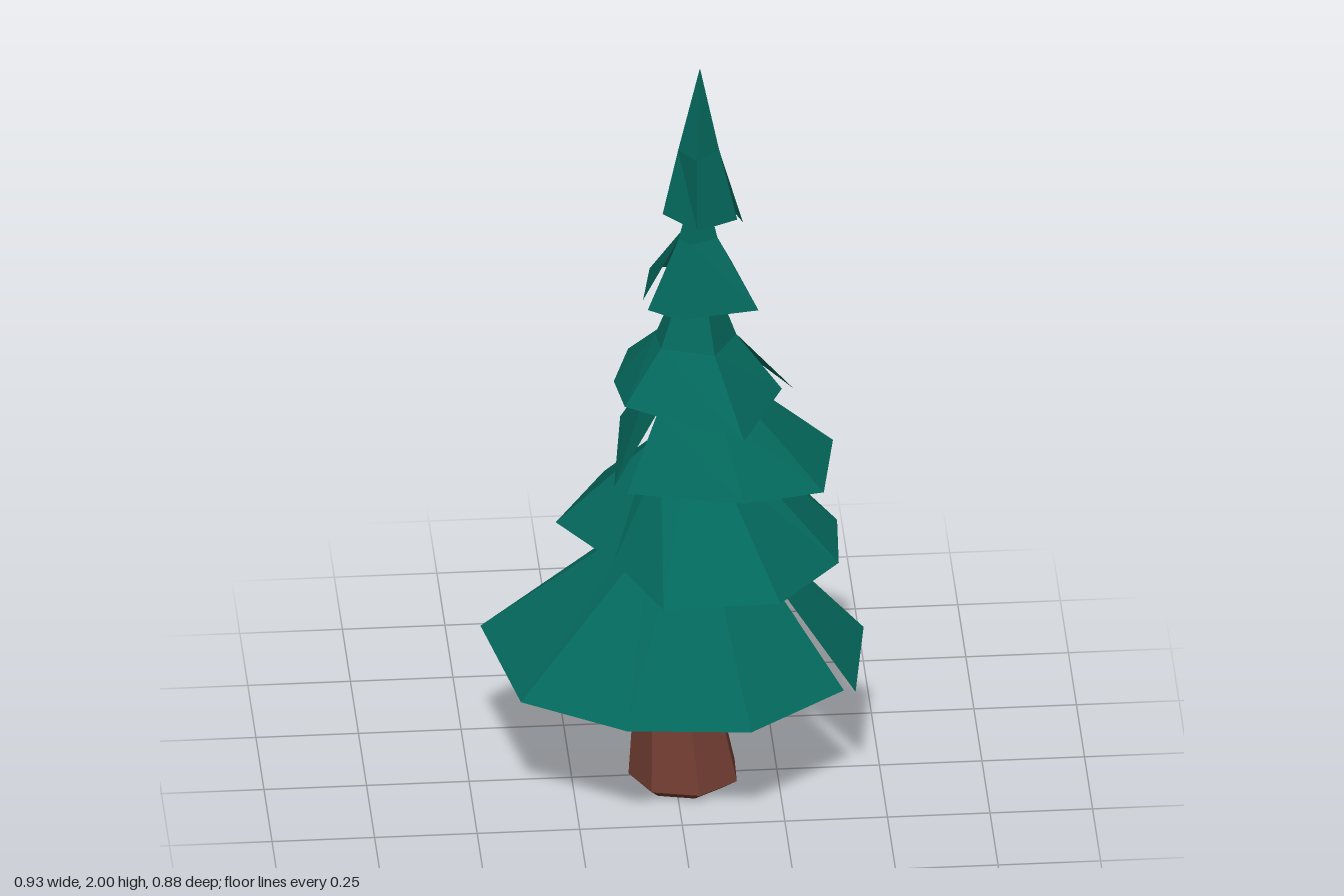
import * as THREE from 'three';

// Skirts of branches: heights of top, shoulder and rim, shoulder radius, and rim corners
// [x, z] listed from one edge of the slit round to the other.
const TIERS = [
  { name: 'bottomBranches', top: 0.86, shoulder: 0.71, radius: 0.125, rimY: 0.365,
    rim: [[0.425, 0.215], [0.467, -0.07], [0.315, -0.25], [0, -0.44], [-0.23, -0.29],
      [-0.467, -0.07], [-0.395, 0.27], [-0.15, 0.435], [0.155, 0.412], [0.395, 0.235]] },
  { name: 'lowerBranches', top: 1.08, shoulder: 0.94, radius: 0.105, rimY: 0.685,
    rim: [[0.29, -0.3], [-0.15, -0.27], [-0.285, -0.05], [-0.16, 0.165], [-0.055, 0.37],
      [0.23, 0.365], [0.39, 0.14], [0.4, -0.04], [0.315, -0.25]] },
  { name: 'middleBranches', top: 1.24, shoulder: 1.09, radius: 0.135, rimY: 0.91,
    rim: [[-0.13, 0.195], [0.15, 0.27], [0.35, 0.185], [0.39, -0.04], [0.115, -0.27],
      [-0.12, -0.15], [-0.16, 0.165]] },
  { name: 'upperBranches', top: 1.42, shoulder: 1.24, radius: 0.1, rimY: 1.095,
    rim: [[0.29, 0], [0.18, -0.15], [0.06, -0.18], [-0.1, -0.16], [-0.145, -0.03],
      [-0.13, 0.12], [0.15, 0.257], [0.26, 0.03]] },
  { name: 'highBranches', top: 1.66, shoulder: 1.53, radius: 0.05, rimY: 1.355,
    rim: [[-0.07, 0.07], [0, 0.145], [0.2, 0.07], [0.15, -0.14], [-0.05, -0.13],
      [-0.08, 0.05]] },
  { name: 'treeTip', top: 2, shoulder: 1.77, radius: 0.05, rimY: 1.58,
    rim: [[0.165, 0.03], [0.12, -0.06], [0.01, -0.09], [-0.03, 0.02], [0.05, 0.075],
      [0.15, 0.045]] },
];

// Trunk rings [centre x, y, centre z, radius], foot to top
const TRUNK = [
  [0.02, 0, 0.035, 0.1], [0.023, 0.025, 0.037, 0.132], [-0.005, 0.38, 0.04, 0.085],
  [0.03, 0.72, 0.02, 0.063], [0.06, 1.62, 0.025, 0.015],
];

// Flat-sided skin between rows of points running from top to bottom
function skin(rows, extra = []) {
  const pos = [...extra];
  for (let r = 0; r + 1 < rows.length; r++) {
    for (let i = 0; i + 1 < rows[r].length; i++) {
      const a = rows[r][i], b = rows[r][i + 1], c = rows[r + 1][i], d = rows[r + 1][i + 1];
      pos.push(...a, ...c, ...d, ...a, ...d, ...b);
    }
  }
  const g = new THREE.BufferGeometry();
  g.setAttribute('position', new THREE.Float32BufferAttribute(pos, 3));
  g.computeVertexNormals();
  return g;
}

// One drooping skirt around the leaning axis; the slit narrows to nothing at the shoulder
function tierGeometry({ top, shoulder, radius, rimY, rim }) {
  const centre = (y) => [0.035 + 0.0125 * y, 0.01 + 0.011 * y];
  const [ax, az] = centre(shoulder);
  const edge = rim.map(([x, z], i) => [x, rimY - 0.05 * x + (i % 2 ? 0.008 : -0.008), z]);
  const [p, , q] = rim;
  const clockwise = (p[0] - ax) * (q[1] - az) - (p[1] - az) * (q[0] - ax) > 0;
  if (clockwise) edge.reverse();
  const ring = (y, r) => {
    const [cx, cz] = centre(y);
    const points = edge.map(([x, , z]) => {
      const a = Math.atan2(z - az, x - ax);
      return [cx + r * Math.cos(a), y, cz + r * Math.sin(a)];
    });
    points[points.length - 1] = points[0];
    return points;
  };
  const topRadius = top === 2 ? 0.001 : radius * 0.35;
  return skin([ring(top, topRadius), ring(shoulder, radius), edge]);
}

// Bent seven-sided trunk with a closed foot
function trunkGeometry() {
  const sides = 7;
  const rows = TRUNK.map(([cx, y, cz, r]) => Array.from({ length: sides + 1 }, (_, i) => {
    const a = (i / sides) * Math.PI * 2 + 0.2;
    return [cx + r * 1.04 * Math.sin(a), y, cz + r * 0.92 * Math.cos(a)];
  })).reverse();
  const foot = rows[rows.length - 1], cap = [];
  const [cx, y, cz] = TRUNK[0];
  for (let i = 0; i < sides; i++) cap.push(cx, y, cz, ...foot[i + 1], ...foot[i]);
  return skin(rows, cap);
}

export function createModel() {
  const needles = new THREE.MeshStandardMaterial({ color: 0x04685c, flatShading: true, side: THREE.DoubleSide });
  needles.name = 'needle green';
  const bark = new THREE.MeshStandardMaterial({ color: 0x723e32, flatShading: true });
  bark.name = 'bark brown';

  const tree = new THREE.Group();
  tree.name = 'pineTree';
  const add = (name, geometry, material) => {
    const mesh = new THREE.Mesh(geometry, material);
    mesh.name = name;
    tree.add(mesh);
  };
  add('trunk', trunkGeometry(), bark);
  for (const tier of TIERS) add(tier.name, tierGeometry(tier), needles);
  return tree;
}
